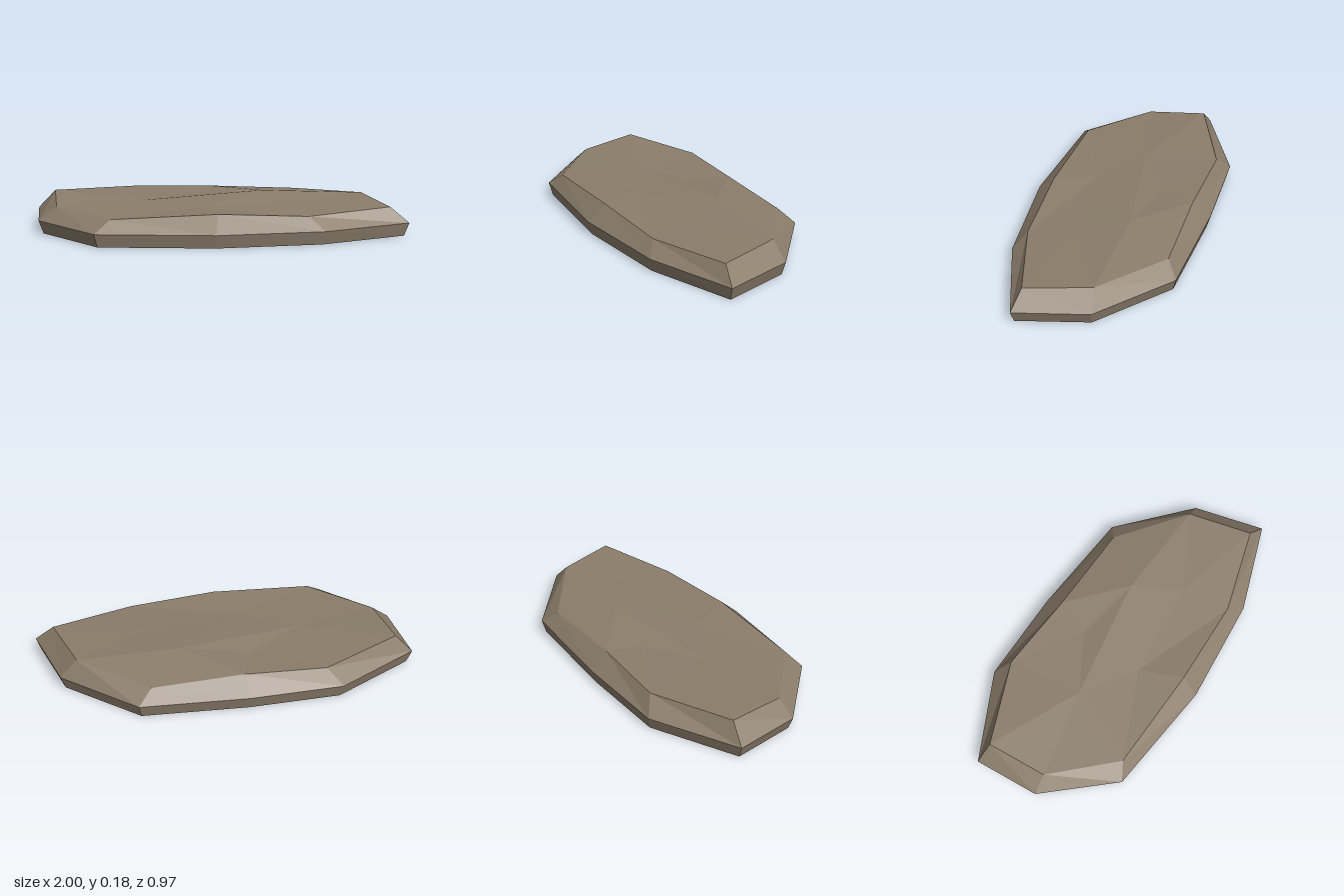
import * as THREE from 'three';

// Outline going left, back, right, front: widest edge x, z, then top rim x, y, z
const OUTLINE = [
  [-1.0, -0.2, -0.905, 0.17, -0.185],
  [-0.57, -0.45, -0.49, 0.153, -0.39],
  [-0.08, -0.485, -0.06, 0.155, -0.39],
  [0.49, -0.48, 0.42, 0.137, -0.415],
  [0.875, -0.18, 0.785, 0.163, -0.16],
  [1.0, 0.19, 0.9, 0.152, 0.17],
  [0.545, 0.39, 0.465, 0.137, 0.335],
  [-0.01, 0.48, 0, 0.158, 0.385],
  [-0.625, 0.46, -0.545, 0.135, 0.405],
  [-0.95, 0.145, -0.855, 0.143, 0.13],
];

// Uneven bumps in the middle of the top
const BUMPS = [
  [-0.4, 0.152, 0],
  [-0.12, 0.147, -0.19],
  [0.24, 0.177, -0.15],
  [0.4, 0.153, 0.08],
  [-0.11, 0.146, 0.17],
];
// The bump that each rim edge joins to
const APEX = [0, 1, 2, 2, 3, 3, 4, 4, 0, 0];

function facetMesh(name, triangles, material) {
  const geometry = new THREE.BufferGeometry();
  geometry.setAttribute('position', new THREE.Float32BufferAttribute(triangles.flat(2), 3));
  geometry.computeVertexNormals();
  const mesh = new THREE.Mesh(geometry, material);
  mesh.name = name;
  return mesh;
}

export function createModel() {
  const group = new THREE.Group();
  group.name = 'flatRock';
  const stone = new THREE.MeshStandardMaterial({ color: 0x8b7d6b, flatShading: true });
  stone.name = 'stone';

  const base = OUTLINE.map(([x, z]) => [x * 0.975, 0, z * 0.965]);
  const edge = OUTLINE.map(([x, z]) => [x, 0.07, z]);
  const rim = OUTLINE.map(([, , x, y, z]) => [x, y, z]);
  const sides = [], bevel = [], top = [], bottom = [];

  const band = (out, low, high, i, j) =>
    out.push([low[i], high[i], high[j]], [low[i], high[j], low[j]]);

  OUTLINE.forEach((_, i) => {
    const j = (i + 1) % OUTLINE.length;
    band(sides, base, edge, i, j);
    band(bevel, edge, rim, i, j);
    bottom.push([base[i], base[j], [0, 0, 0]]);

    // Top facets from the rim in to the bumps
    const a = BUMPS[APEX[i]], b = BUMPS[APEX[j]];
    top.push([rim[j], rim[i], a]);
    if (a !== b) top.push([rim[j], a, b]);
  });

  // Facets between the bumps
  const [A, B, C, D, E] = BUMPS;
  top.push([C, B, A], [E, C, A], [E, D, C]);

  group.add(
    facetMesh('sides', sides, stone),
    facetMesh('bevel', bevel, stone),
    facetMesh('topSurface', top, stone),
    facetMesh('underside', bottom, stone),
  );
  return group;
}
